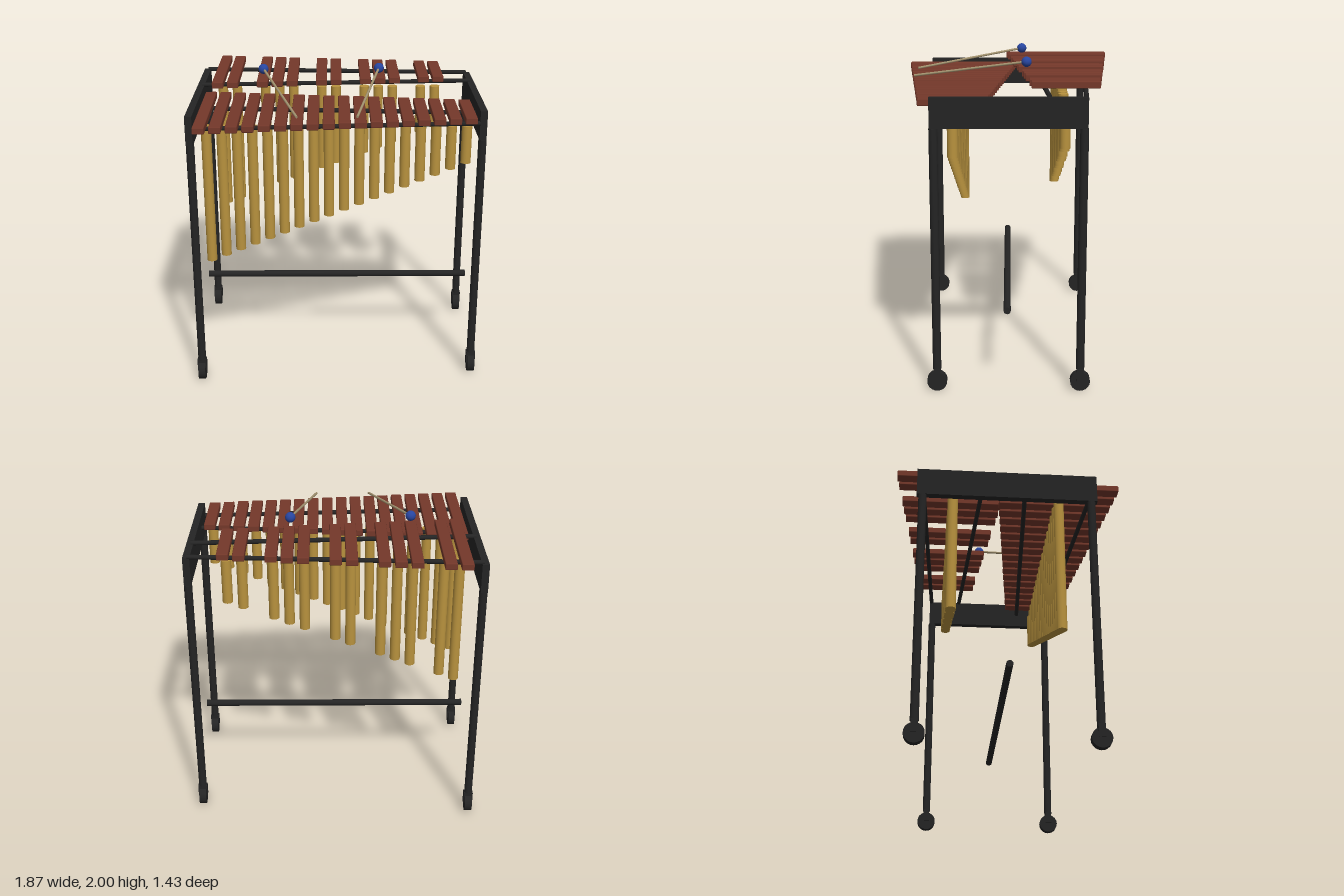
import * as THREE from 'three';
import { RoundedBoxGeometry } from 'three/addons/geometries/RoundedBoxGeometry.js';

const material = (name, color) => {
  const m = new THREE.MeshStandardMaterial({ color });
  m.name = name;
  return m;
};

export function createModel() {
  const rosewood = material('rosewood', 0x74382a);
  const brass = material('brass', 0xb8923e);
  const black = material('black metal', 0x242424);
  const blue = material('blue yarn', 0x2846a0);
  const rattan = material('rattan', 0xa49470);

  const model = new THREE.Group();
  model.name = 'marimba';

  const add = (name, geometry, mat, x, y, z, parent = model) => {
    const mesh = new THREE.Mesh(geometry, mat);
    mesh.name = name;
    mesh.position.set(x, y, z);
    parent.add(mesh);
    return mesh;
  };

  // Round rod between two points
  const rod = (name, a, b, radius, mat, sides = 12) => {
    const from = new THREE.Vector3(...a), to = new THREE.Vector3(...b);
    const dir = to.clone().sub(from);
    const mid = from.clone().add(to).multiplyScalar(0.5);
    const mesh = add(name, new THREE.CylinderGeometry(radius, radius, dir.length(), sides), mat, mid.x, mid.y, mid.z);
    mesh.quaternion.setFromUnitVectors(new THREE.Vector3(0, 1, 0), dir.normalize());
    return mesh;
  };

  // One note: a bar and the resonator tube below it
  const addNote = (kind, step, scale, z, barY, tubeTop) => {
    const x = -0.83 + step * 0.0971;
    const barLength = (0.782 - step * 0.0219) * scale;
    const tubeLength = (0.93 - step * 0.0401) * scale;
    add(kind + 'Bar', new RoundedBoxGeometry(0.073, 0.042, barLength, 1, 0.005), rosewood, x, barY, z);
    add(kind + 'Resonator', new THREE.CylinderGeometry(0.033, 0.033, tubeLength, 16), brass, x, tubeTop - tubeLength / 2, z);
  };
  for (let i = 0; i < 18; i++) addNote('natural', i, 1, 0.326, 1.805, 1.715);
  for (const i of [0, 1, 3, 4, 5, 7, 8, 10, 11, 12, 14, 15]) {
    addNote('accidental', i + 0.5, 0.94, -0.353, 1.886, 1.783);
  }

  // Support rails under the bars, converging towards the short end: [y, z left end, z right end]
  const rails = [[1.764, 0.543, 0.44], [1.764, 0.107, 0.215], [1.849, -0.15, -0.247], [1.849, -0.557, -0.462]];
  for (const [y, z0, z1] of rails) rod('rail', [-0.9, y, z0], [0.9, y, z1], 0.0145, black);

  // Lower crossbar
  rod('crossbar', [-0.9, 0.52, 0], [0.9, 0.52, 0], 0.022, black, 16);

  // Leg with caster
  const addLeg = (x, z) => {
    const leg = new THREE.Group();
    leg.name = 'leg';
    leg.position.set(x, 0, z);
    model.add(leg);
    add('post', new THREE.CylinderGeometry(0.026, 0.026, 1.52, 16), black, 0, 0.9, 0, leg);
    add('casterFork', new THREE.BoxGeometry(0.06, 0.08, 0.042), black, 0, 0.105, 0, leg);
    const wheel = add('wheel', new THREE.CylinderGeometry(0.062, 0.062, 0.046, 20), black, 0, 0.062, 0, leg);
    wheel.rotation.z = Math.PI / 2;
  };

  // End frames: [x, beam front z, beam back z, front leg z, back leg z]
  const ends = [[-0.907, 0.563, -0.585, 0.526, -0.548], [0.905, 0.458, -0.475, 0.436, -0.454]];
  for (const [x, front, back, legFront, legBack] of ends) {
    add('endBeam', new THREE.BoxGeometry(0.044, 0.186, front - back), black, x, 1.753, (front + back) / 2);
    addLeg(x, legFront);
    addLeg(x, legBack);
  }

  // Mallets resting on the bars: [head, stick end]
  const mallets = [
    [[-0.484, 1.97, -0.1], [-0.246, 1.86, 0.615]],
    [[0.278, 1.97, -0.122], [0.119, 1.86, 0.61]],
  ];
  for (const [head, tip] of mallets) {
    rod('malletStick', head, tip, 0.008, rattan, 8);
    add('malletHead', new THREE.SphereGeometry(0.033, 20, 14), blue, ...head);
  }

  return model;
}
